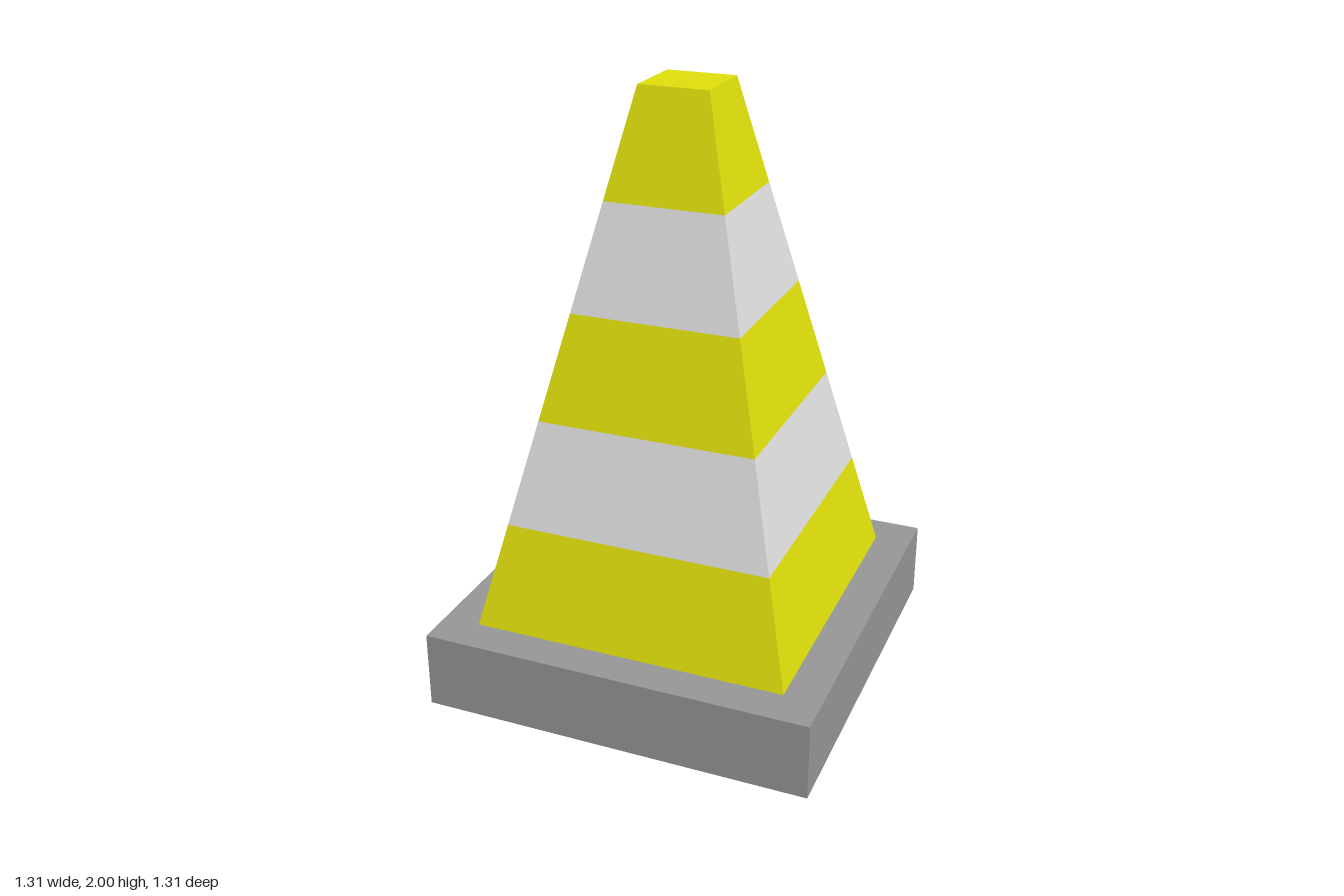
import * as THREE from 'three';

const BASE_HEIGHT = 0.26, BASE_WIDTH = 1.31;
const TOP = 2, BOTTOM_HALF = 0.53, TOP_HALF = 0.116, BANDS = 5;

function material(name, color) {
  const m = new THREE.MeshStandardMaterial({ color });
  m.name = name;
  return m;
}

// Square frustum with crisp faces, standing on y = 0
function frustum(bottomHalf, topHalf, height, open) {
  const g = new THREE.CylinderGeometry(
    topHalf * Math.SQRT2, bottomHalf * Math.SQRT2, height, 4, 1, open);
  g.rotateY(Math.PI / 4).translate(0, height / 2, 0);
  const flat = g.toNonIndexed();
  flat.computeVertexNormals();
  return flat;
}

export function createModel() {
  const group = new THREE.Group();
  group.name = 'trafficCone';
  const yellow = material('yellow', 0xdede0c);
  const white = material('white', 0xdedede);
  const grey = material('grey', 0x969696);

  // Square foot slab
  const base = new THREE.Mesh(new THREE.BoxGeometry(BASE_WIDTH, BASE_HEIGHT, BASE_WIDTH), grey);
  base.name = 'base';
  base.position.y = BASE_HEIGHT / 2;
  group.add(base);

  // Tapered body in equal alternating bands; only the topmost is capped
  const bandHeight = (TOP - BASE_HEIGHT) / BANDS;
  const halfAt = (i) => THREE.MathUtils.lerp(BOTTOM_HALF, TOP_HALF, i / BANDS);
  for (let i = 0; i < BANDS; i++) {
    const band = new THREE.Mesh(
      frustum(halfAt(i), halfAt(i + 1), bandHeight, i < BANDS - 1),
      i % 2 ? white : yellow);
    band.name = `${i % 2 ? 'white' : 'yellow'}Band${i + 1}`;
    band.position.y = BASE_HEIGHT + i * bandHeight;
    group.add(band);
  }
  return group;
}
